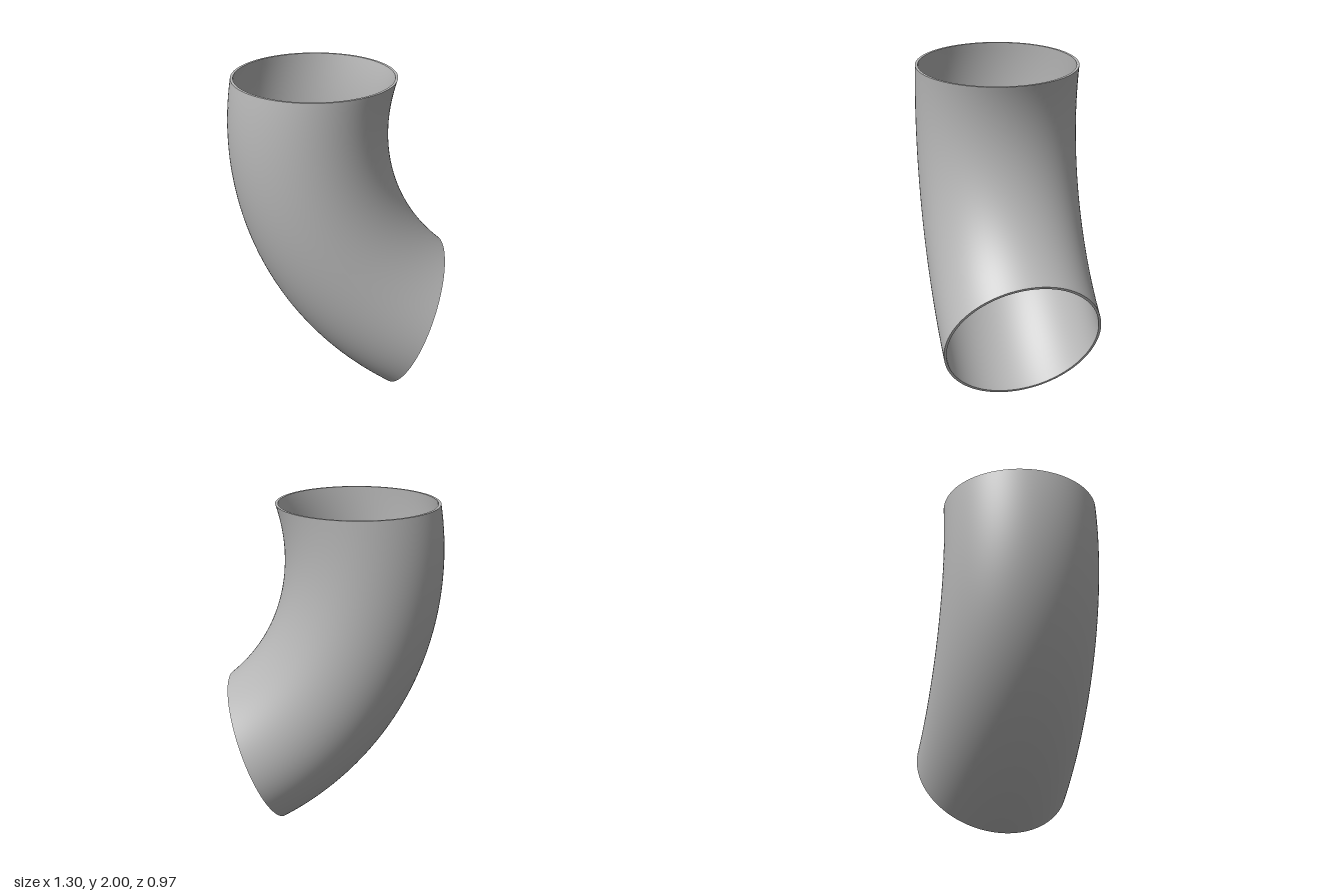
import * as THREE from 'three';
import { mergeVertices } from 'three/addons/utils/BufferGeometryUtils.js';

const OUTER = 0.485, INNER = 0.469;      // pipe radii
const START_X = -0.142, TOP = 2;         // centre of the upper opening
const PIVOT_X = 1.31, PIVOT_Y = 1.676;   // axis the section swings around
const TURN = THREE.MathUtils.degToRad(68);

// Swings each level of an upright shape (y = 1 top, y = 0 bottom) around the pivot.
function bend(geometry) {
  const p = geometry.attributes.position;
  const dy = TOP - PIVOT_Y;
  for (let i = 0; i < p.count; i++) {
    const a = (1 - p.getY(i)) * TURN;
    const dx = p.getX(i) + START_X - PIVOT_X;
    p.setXY(i,
      PIVOT_X + dx * Math.cos(a) - dy * Math.sin(a),
      PIVOT_Y + dx * Math.sin(a) + dy * Math.cos(a));
  }
  geometry.deleteAttribute('uv');
  geometry.deleteAttribute('normal');
  const merged = mergeVertices(geometry, 1e-5);
  merged.computeVertexNormals();
  return merged;
}

// Open pipe wall; inward reverses the faces for the bore.
function wall(radius, inward) {
  const g = new THREE.CylinderGeometry(radius, radius, 1, 96, 48, true).translate(0, 0.5, 0);
  if (inward) g.setIndex(Array.from(g.index.array).reverse());
  return bend(g);
}

// Flat end ring at level y, facing up or down.
function rim(y, facing) {
  return bend(new THREE.RingGeometry(INNER, OUTER, 96).rotateX(-facing * Math.PI / 2).translate(0, y, 0));
}

export function createModel() {
  const group = new THREE.Group();
  group.name = 'pipeElbow';
  const steel = new THREE.MeshStandardMaterial({ color: 0xb8b8b8 });
  steel.name = 'grey steel';

  const parts = {
    outerWall: wall(OUTER, false),
    innerWall: wall(INNER, true),
    upperRim: rim(1, 1),
    lowerRim: rim(0, -1),
  };
  for (const [name, geometry] of Object.entries(parts)) {
    const mesh = new THREE.Mesh(geometry, steel);
    mesh.name = name;
    group.add(mesh);
  }
  return group;
}
